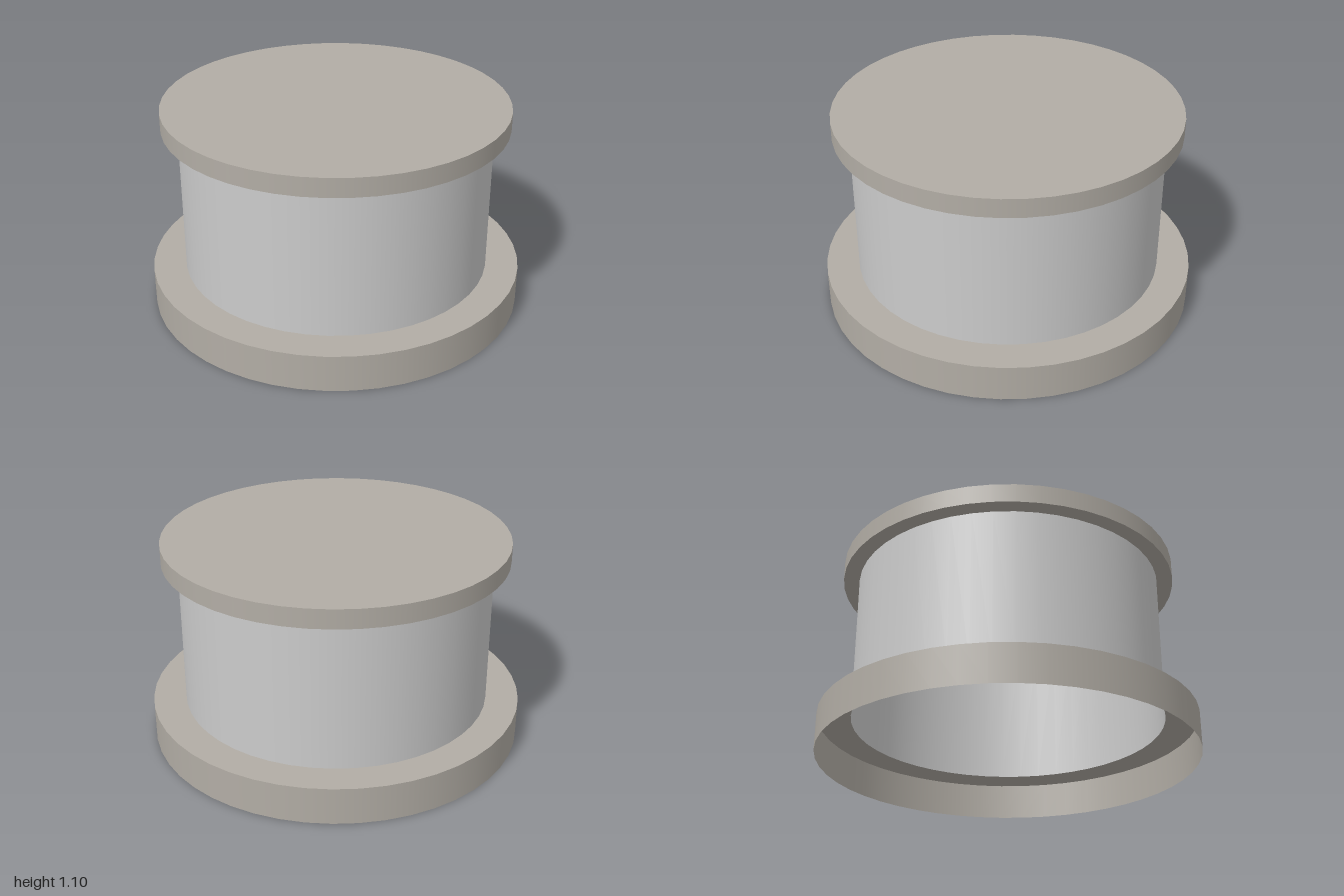
import * as THREE from 'three';

const SEGMENTS = 48;

export function createModel() {
  const model = new THREE.Group();
  model.name = 'flangedDrum';

  const rimMaterial = new THREE.MeshStandardMaterial({ color: 0xb2ada5, side: THREE.DoubleSide });
  const bodyMaterial = new THREE.MeshStandardMaterial({ color: 0xcccccc, side: THREE.DoubleSide });

  // One straight run of the profile, revolved; separate runs keep corners sharp
  function band(parent, name, material, from, to) {
    const points = [new THREE.Vector2(...from), new THREE.Vector2(...to)];
    const mesh = new THREE.Mesh(new THREE.LatheGeometry(points, SEGMENTS), material);
    mesh.name = name;
    parent.add(mesh);
  }

  function part(name) {
    const group = new THREE.Group();
    group.name = name;
    model.add(group);
    return group;
  }

  // Base flange: thin wall and ledge, open underneath
  const base = part('baseFlange');
  band(base, 'baseWall', rimMaterial, [1, 0], [1, 0.2]);
  band(base, 'baseLedge', rimMaterial, [1, 0.2], [0.825, 0.2]);

  // Drum body: hollow tube, open into the base and the cap
  band(part('body'), 'bodyWall', bodyMaterial, [0.825, 0.2], [0.825, 1]);

  // Cap: underside ring, wall and closed top
  const cap = part('cap');
  band(cap, 'capUnderside', rimMaterial, [0.825, 1], [0.91, 1]);
  band(cap, 'capWall', rimMaterial, [0.91, 1], [0.91, 1.1]);
  band(cap, 'capTop', rimMaterial, [0.91, 1.1], [0, 1.1]);

  return model;
}
